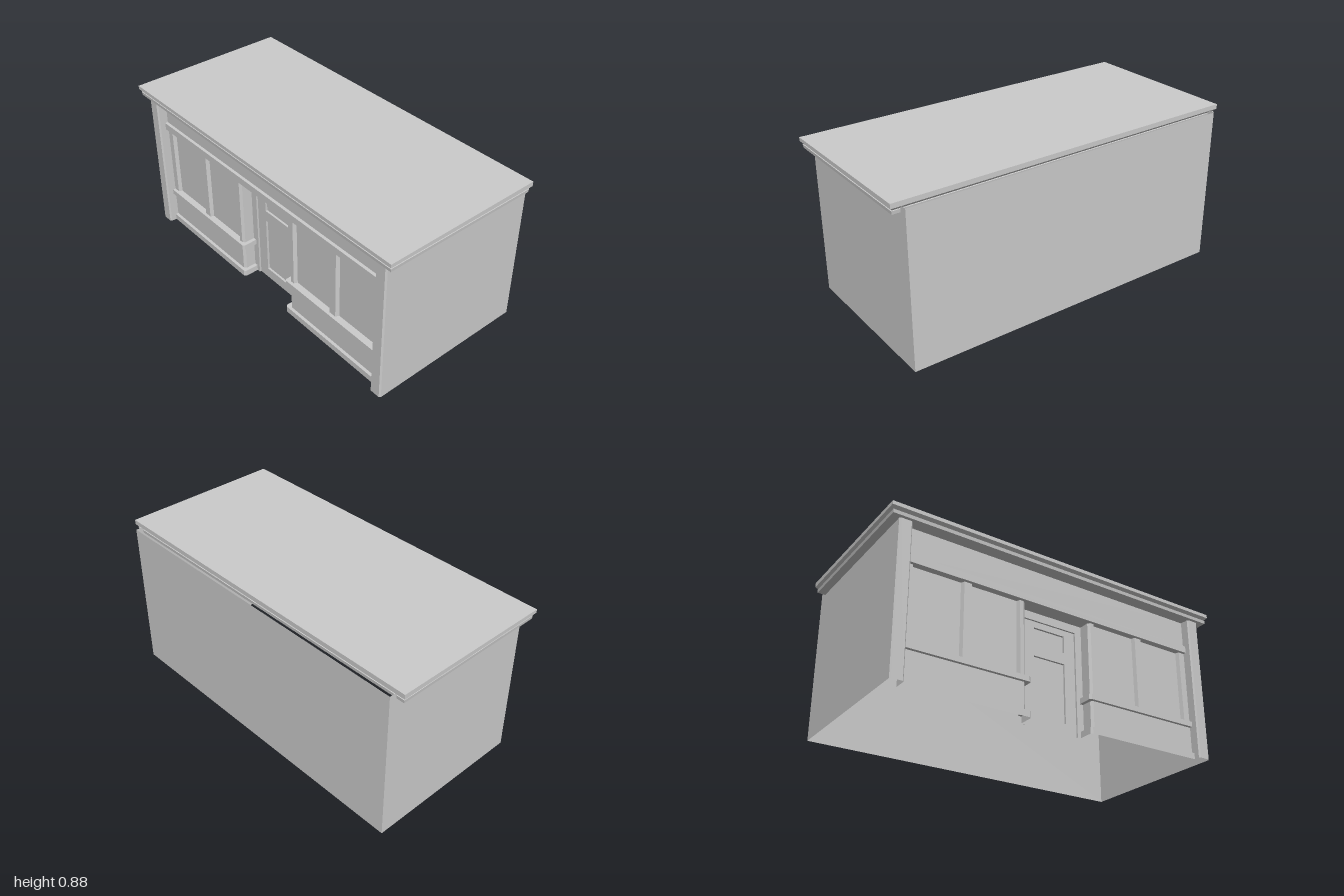
import * as THREE from 'three';

const mat = new THREE.MeshStandardMaterial({ color: 0xcccccc, side: THREE.DoubleSide });

function add(parent, name, geo) {
  const mesh = new THREE.Mesh(geo, mat);
  mesh.name = name;
  parent.add(mesh);
  return mesh;
}

function quads(list) {
  const pos = [];
  for (const [a, b, c, d] of list) pos.push(...a, ...b, ...c, ...a, ...c, ...d);
  const g = new THREE.BufferGeometry();
  g.setAttribute('position', new THREE.Float32BufferAttribute(pos, 3));
  g.computeVertexNormals();
  return g;
}

// vertical sheet following a plan path of [x, z] points
function strip(path, y0, y1) {
  const list = [];
  for (let i = 0; i + 1 < path.length; i++) {
    const [[ax, az], [bx, bz]] = [path[i], path[i + 1]];
    list.push([[ax, y0, az], [bx, y0, bz], [bx, y1, bz], [ax, y1, az]]);
  }
  return quads(list);
}

// horizontal sheet with a plan outline of [x, z] points
function ledge(outline, y) {
  const s = new THREE.Shape(outline.map(([x, z]) => new THREE.Vector2(x, -z)));
  return new THREE.ShapeGeometry(s).rotateX(-Math.PI / 2).translate(0, y, 0);
}

const rect = (x0, x1, z0, z1) => [[x0, z1], [x1, z1], [x1, z0], [x0, z0]];

// plan depths
const DOOR = 0.31, RECESS = 0.32, GLASS = 0.37, WALL = 0.39, TRIM = 0.407, BACK = -0.475;
const END = 0.875, SIDE = 0.945;

// one half of the shopfront, built on the +x side
function createBay() {
  const bay = new THREE.Group();
  const corner = [[0.2, RECESS], [0.2, WALL - 0.012], [0.212, WALL]];

  add(bay, 'lowerPanel', strip([...corner, [END, WALL]], 0.035, 0.185));

  // two windows with splayed jambs and a mullion between
  const path = [...corner];
  for (const [a, b] of [[0.233, 0.515], [0.557, 0.838]]) {
    path.push([a, WALL], [a + 0.008, GLASS], [b - 0.008, GLASS], [b, WALL]);
  }
  add(bay, 'windows', strip([...path, [END, WALL]], 0.215, 0.63));

  // plinth and sill return into the door recess
  const outer = [[0.18, RECESS], [0.18, TRIM - 0.01], [0.19, TRIM], [END, TRIM]];
  const outline = [...outer, [END, GLASS], [0.2, GLASS], [0.2, RECESS]];
  add(bay, 'plinth', strip(outer, 0, 0.035));
  add(bay, 'plinthTop', ledge(outline, 0.035));
  add(bay, 'sill', strip(outer, 0.185, 0.215));
  add(bay, 'sillTop', ledge(outline, 0.215));
  add(bay, 'sillUnderside', ledge(outline, 0.185));

  // bevelled pilaster running into the side wall
  const pilaster = [[END, GLASS], [END, 0.437], [END + 0.007, 0.445], [SIDE - 0.007, 0.445], [SIDE, 0.437]];
  add(bay, 'pilaster', strip(pilaster, 0, 0.825));
  add(bay, 'sideWall', strip([[SIDE, 0.437], [SIDE, BACK]], 0, 0.858));
  return bay;
}

function createDoor() {
  const door = new THREE.Group();
  door.name = 'door';
  const panels = [[0.06, 0.39], [0.455, 0.55]];
  const hw = 0.16, pw = 0.095, top = 0.585;

  // leaf with two sunk panels
  const leaf = new THREE.Shape([[-hw, 0], [hw, 0], [hw, top], [-hw, top]].map(p => new THREE.Vector2(...p)));
  for (const [y0, y1] of panels) {
    leaf.holes.push(new THREE.Path([[-pw, y0], [-pw, y1], [pw, y1], [pw, y0]].map(p => new THREE.Vector2(...p))));
    const z = DOOR - 0.012;
    add(door, 'doorPanel', strip([[-pw, DOOR], [-pw, z], [pw, z], [pw, DOOR]], y0, y1));
    for (const y of [y0, y1]) add(door, 'panelEdge', ledge(rect(-pw, pw, z, DOOR), y));
  }
  add(door, 'doorLeaf', new THREE.ShapeGeometry(leaf).translate(0, 0, DOOR));

  // surround
  for (const s of [-1, 1]) {
    add(door, 'doorJamb', strip([[s * hw, DOOR], [s * hw, RECESS], [s * 0.2, RECESS]], 0, top));
  }
  add(door, 'doorHead', strip([[-0.2, RECESS], [0.2, RECESS]], top, 0.63));
  add(door, 'doorHeadEdge', ledge(rect(-hw, hw, DOOR, RECESS), top));
  return door;
}

// moulded cornice: rectangular loops stepping down from the roof edge
function createCornice() {
  const x = 1, zf = 0.475, zb = -0.443;
  const topY = [0.878, 0.878, 0.884, 0.884];
  const profile = [[0, null], [0, 0.858], [0.016, 0.842], [0.01, 0.841], [0.012, 0.823], [0.06, 0.823]];
  const rings = profile.map(([d, y]) =>
    [[-x + d, zf - d], [x - d, zf - d], [x - d, zb + d], [-x + d, zb + d]]
      .map(([px, pz], i) => [px, y ?? topY[i], pz]));
  const list = [rings[0]];
  for (let r = 0; r + 1 < rings.length; r++) {
    for (let i = 0; i < 4; i++) {
      const j = (i + 1) % 4;
      list.push([rings[r + 1][i], rings[r + 1][j], rings[r][j], rings[r][i]]);
    }
  }
  return quads(list);
}

export function createModel() {
  const model = new THREE.Group();
  model.name = 'shop';

  const left = createBay();
  left.name = 'leftBay';
  const right = createBay();
  right.name = 'rightBay';
  right.scale.x = -1;
  model.add(left, right, createDoor());

  // beam over windows and door, with the frieze above
  add(model, 'beam', strip([[-END, TRIM], [END, TRIM]], 0.63, 0.67));
  add(model, 'beamTop', ledge(rect(-END, END, WALL, TRIM), 0.67));
  add(model, 'beamUnderside', ledge(rect(-END, END, GLASS, TRIM), 0.63));
  add(model, 'recessCeiling', ledge(rect(-0.2, 0.2, RECESS, GLASS), 0.63));
  add(model, 'frieze', strip([[-END, WALL], [END, WALL]], 0.67, 0.825));

  add(model, 'backWall', strip([[SIDE, BACK], [-SIDE, BACK]], 0, 0.858));
  add(model, 'roofAndCornice', createCornice());
  return model;
}
